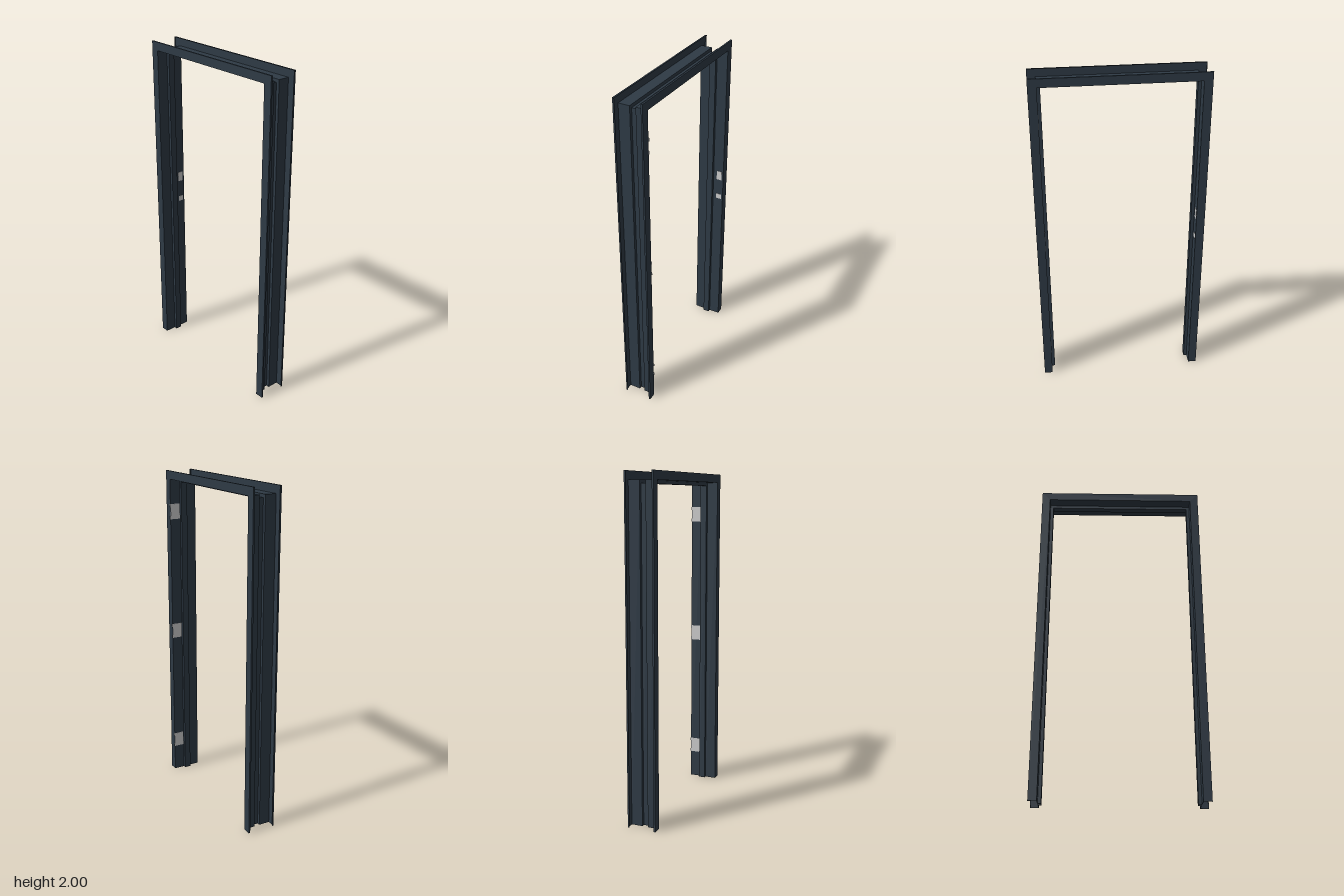
import * as THREE from 'three';

const ZC = 0.002;      // middle plane of the frame
const W = 0.0865;      // half depth of the frame
const S = 0.0195;      // half width of the door stop
const T = 0.002;       // sheet thickness
const LIP = 0.01;      // returned edge of each face flange
const RABBET = 0.05, STOP = 0.069; // distances in from the outer edge

// Folded sheet section: x = distance in from the outer edge, y = depth
function sheetOutline() {
  const v = (o, z) => new THREE.Vector2(o, z);
  const mirror = (half) => half.concat(half.map((p) => v(p.x, -p.y)).reverse());
  const visible = mirror([v(0, W - LIP), v(0, W), v(RABBET, W), v(RABBET, S), v(STOP, S)]);
  const hidden = mirror([v(T, W - LIP), v(T, W - T), v(RABBET - T, W - T),
    v(RABBET - T, S - T), v(STOP - T, S - T)]);
  return visible.concat(hidden.reverse());
}

// Section points placed on the floor or on a mitred top corner
const stations = [
  (p) => [-0.5 + p.x, 0, p.y + ZC],
  (p) => [-0.5 + p.x, 2 - p.x, p.y + ZC],
  (p) => [0.5 - p.x, 2 - p.x, p.y + ZC],
  (p) => [0.5 - p.x, 0, p.y + ZC],
];

// One frame member between two stations, capped where it meets the floor
function member(name, i, material) {
  const outline = sheetOutline();
  const from = stations[i], to = stations[i + 1];
  const pos = [];
  outline.forEach((p, k) => {
    const q = outline[(k + 1) % outline.length];
    const a = from(p), b = from(q), c = to(q), d = to(p);
    pos.push(...a, ...b, ...c, ...a, ...c, ...d);
  });
  const cap = i === 0 ? from : i === 2 ? to : null;
  if (cap) {
    for (const tri of THREE.ShapeUtils.triangulateShape(outline, [])) {
      tri.forEach((k) => pos.push(...cap(outline[k])));
    }
  }
  const geo = new THREE.BufferGeometry();
  geo.setAttribute('position', new THREE.Float32BufferAttribute(pos, 3));
  geo.computeVertexNormals();
  const mesh = new THREE.Mesh(geo, material);
  mesh.name = name;
  return mesh;
}

function box(name, w, h, d, x, y, z, material) {
  const mesh = new THREE.Mesh(new THREE.BoxGeometry(w, h, d), material);
  mesh.position.set(x, y, z);
  mesh.name = name;
  return mesh;
}

export function createModel() {
  const group = new THREE.Group();
  group.name = 'doorFrame';
  const paint = new THREE.MeshStandardMaterial({ color: 0x2e3a45, side: THREE.DoubleSide });
  const metal = new THREE.MeshStandardMaterial({ color: 0xcccccc });

  // Two jambs and the head
  group.add(member('rightJamb', 0, paint), member('head', 1, paint), member('leftJamb', 2, paint));

  // Hinge leaves on the left jamb's rear rabbet, each with two knuckle lugs
  const face = 0.5 - RABBET;
  for (const y of [1.753, 0.985, 0.215]) {
    const hinge = new THREE.Group();
    hinge.name = 'hinge';
    hinge.add(box('hingeLeaf', 0.002, 0.094, 0.062, face - 0.0005, y, -0.0525, metal));
    for (const s of [-1, 1]) {
      hinge.add(box('hingeLug', 0.002, 0.02, 0.01, face - 0.0005, y + s * 0.037, -0.0835, metal));
    }
    group.add(hinge);
  }

  // Latch and bolt strikes on the right jamb's rear rabbet
  group.add(box('latchStrike', 0.002, 0.06, 0.034, -face + 0.0005, 1.118, -0.057, metal));
  group.add(box('boltStrike', 0.002, 0.033, 0.034, -face + 0.0005, 0.966, -0.057, metal));
  return group;
}
